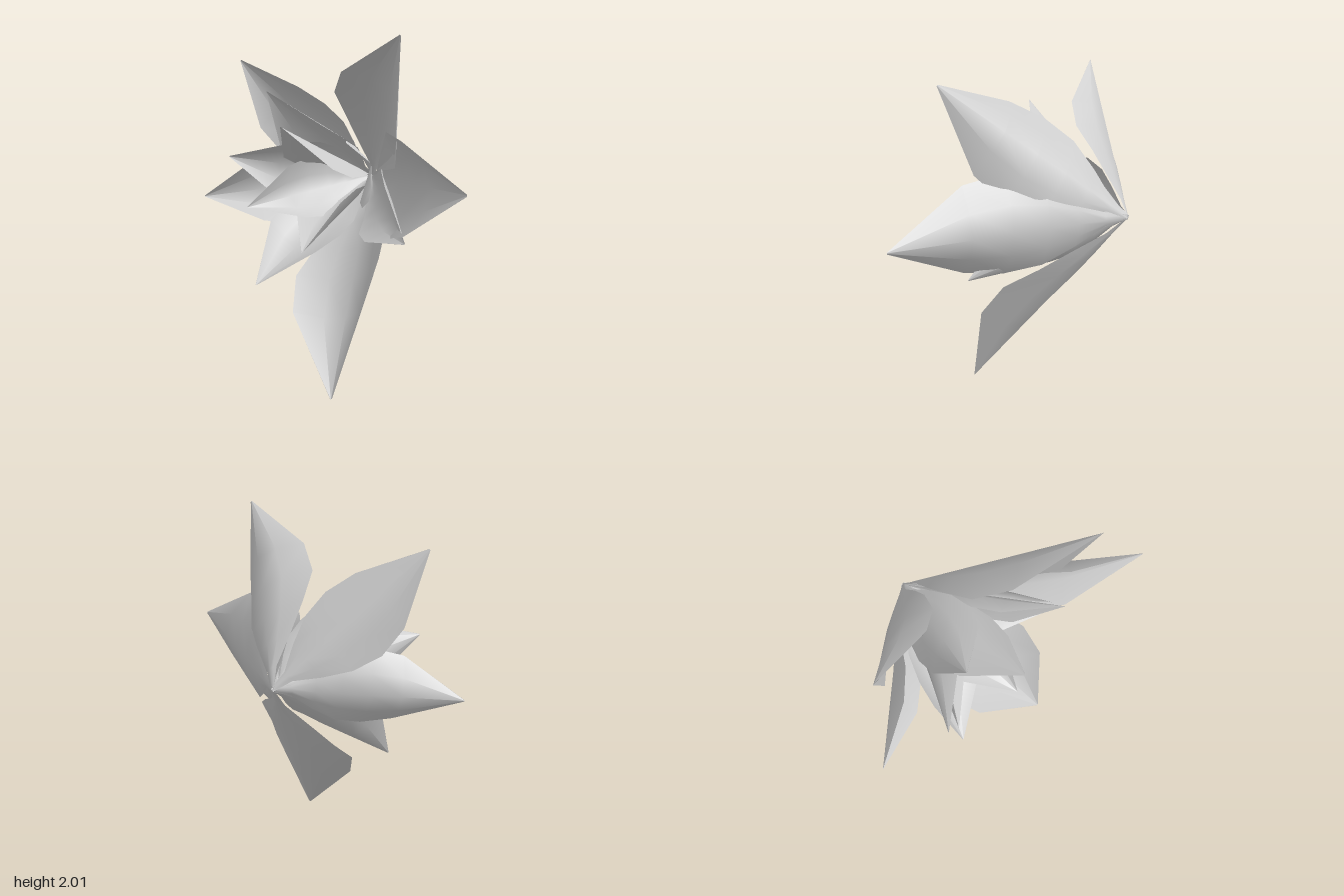
import * as THREE from 'three';

// Point where all the petals meet, at the back of the flower
const BASE = new THREE.Vector3(-0.18, 1.17, -0.48);

// Petal cross-sections as fractions of its length:
// distance along the midrib, half width, forward curl of the rims
const SECTIONS = [
  [0, 0.01, 0],
  [0.1, 0.03, 0.01],
  [0.22, 0.11, 0.035],
  [0.35, 0.18, 0.063],
  [0.5, 0.213, 0.11],
  [0.67, 0.183, 0.113],
  [1, 0.004, 0],
];
const COLS = [-1, -0.5, 0, 0.5, 1];

// Petal tips
const TIPS = {
  outerPetalUpperLeft: [0.54, 2.0, 0.3],
  outerPetalLeft: [0.97, 1.21, 0.35],
  outerPetalBottom: [0.16, 0, 0.4],
  outerPetalRight: [-0.97, 1.05, 0.24],
  outerPetalUpperRight: [-0.78, 1.9, 0.09],
  middlePetalTop: [-0.38, 1.71, 0.3],
  middlePetalLowerLeft: [0.5, 0.89, 0.18],
  middlePetalLowerRight: [-0.46, 0.56, 0.33],
  middlePetalRight: [-0.6, 1.33, 0.39],
  innerPetalLeft: [0.36, 1.33, 0.3],
  innerPetalTop: [-0.13, 1.52, 0.47],
  innerPetalBottom: [-0.06, 0.81, 0.38],
  innerPetalLowerRight: [-0.5, 1.03, 0.35],
};

// Cupped sheet of unit length along +y, with its rims curling towards +z
function petalGeometry() {
  const positions = [], index = [];
  for (const [along, halfWidth, curl] of SECTIONS) {
    for (const u of COLS) positions.push(u * halfWidth, along, curl * u * u);
  }
  const n = COLS.length;
  for (let r = 0; r < SECTIONS.length - 1; r++) {
    for (let c = 0; c < n - 1; c++) {
      const p = r * n + c, q = p + n;
      index.push(p, p + 1, q, p + 1, q + 1, q);
    }
  }
  const geometry = new THREE.BufferGeometry();
  geometry.setAttribute('position', new THREE.Float32BufferAttribute(positions, 3));
  geometry.setIndex(index);
  geometry.computeVertexNormals();
  return geometry;
}

export function createModel() {
  const flower = new THREE.Group();
  flower.name = 'flower';
  const petalGrey = new THREE.MeshStandardMaterial({ color: 0xcccccc, side: THREE.DoubleSide });
  petalGrey.name = 'petalGrey';
  const geometry = petalGeometry();
  const front = new THREE.Vector3(0, 0, 1);

  for (const [name, tip] of Object.entries(TIPS)) {
    // Point the petal at its tip, with the cupped side facing the flower's axis
    const along = new THREE.Vector3(...tip).sub(BASE);
    const length = along.length();
    along.normalize();
    const across = new THREE.Vector3().crossVectors(along, front).normalize();
    const inward = new THREE.Vector3().crossVectors(across, along);

    const petal = new THREE.Mesh(geometry, petalGrey);
    petal.name = name;
    petal.quaternion.setFromRotationMatrix(new THREE.Matrix4().makeBasis(across, along, inward));
    petal.position.copy(BASE);
    petal.scale.setScalar(length);
    flower.add(petal);
  }
  return flower;
}
